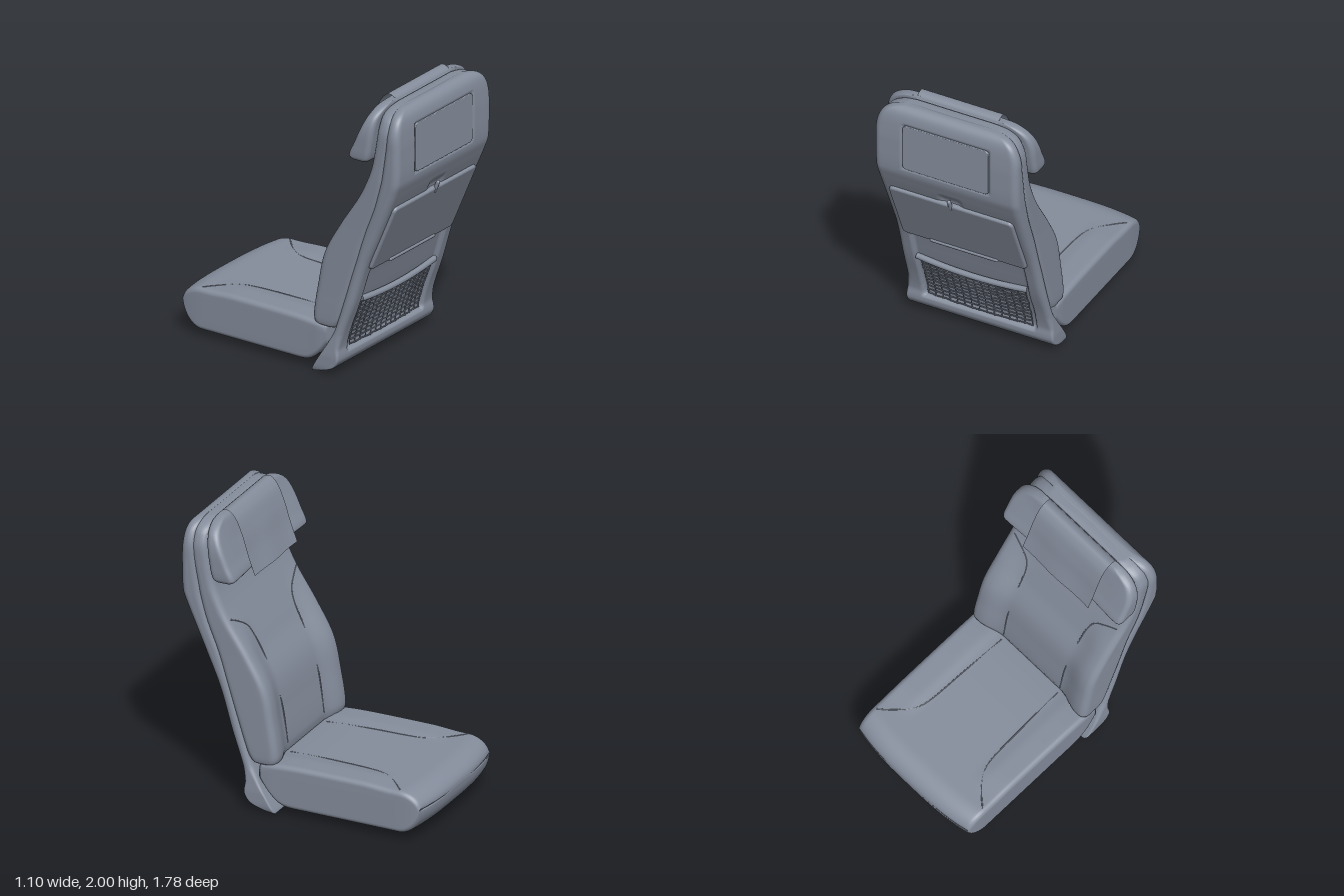
import * as THREE from 'three';
import { ParametricGeometry } from 'three/addons/geometries/ParametricGeometry.js';

const mat = new THREE.MeshStandardMaterial({ color: 0x858d9c });
const thinMat = new THREE.MeshStandardMaterial({ color: 0x858d9c, side: THREE.DoubleSide });
const V = (x, y, z) => new THREE.Vector3(x, y, z);
const step = THREE.MathUtils.smoothstep;

// Smooth interpolation through rows of [s, ...values]
function track(keys) {
  const slope = (i, c) => {
    const a = keys[Math.max(i - 1, 0)], b = keys[Math.min(i + 1, keys.length - 1)];
    return (b[c] - a[c]) / (b[0] - a[0]);
  };
  return (s) => {
    let i = 0;
    while (i < keys.length - 2 && s > keys[i + 1][0]) i++;
    const a = keys[i], b = keys[i + 1], h = b[0] - a[0];
    const t = (s - a[0]) / h, t2 = t * t, t3 = t2 * t;
    return a.slice(1).map((v, k) => (2 * t3 - 3 * t2 + 1) * v + (t3 - 2 * t2 + t) * h * slope(i, k + 1)
      + (3 * t2 - 2 * t3) * b[k + 1] + (t3 - t2) * h * slope(i + 1, k + 1));
  };
}

// Rounded rectangle ring: [side x, side z, corner x, corner z]
function ringTemplate(L, S = 6, C = 6) {
  const out = [];
  const corner = (sx, sz, a0) => {
    for (let i = 1; i < C; i++) {
      const a = a0 + (i / C) * Math.PI / 2;
      out.push([sx, sz, Math.sin(a), Math.cos(a)]);
    }
  };
  for (let i = 0; i <= L; i++) out.push([-1 + 2 * i / L, 1, 0, 1]);
  corner(1, 1, 0);
  for (let i = 0; i <= S; i++) out.push([1, 1 - 2 * i / S, 1, 0]);
  corner(1, -1, Math.PI / 2);
  for (let i = 0; i <= L; i++) out.push([1 - 2 * i / L, -1, 0, -1]);
  corner(-1, -1, Math.PI);
  for (let i = 0; i <= S; i++) out.push([-1, -1 + 2 * i / S, -1, 0]);
  corner(-1, 1, Math.PI * 1.5);
  return out;
}

// Closed loft over keys [s, low, high, halfWidth]; adjust() sculpts each point
function loft(keys, { radius, across = 32, gap = 0.02, adjust }) {
  const at = track(keys), ring = ringTemplate(across), n = ring.length;
  const levels = [keys[0][0]];
  for (let i = 1; i < keys.length; i++) {
    const a = keys[i - 1][0], b = keys[i][0], m = Math.max(3, Math.ceil((b - a) / gap));
    for (let k = 1; k <= m; k++) levels.push(a + (b - a) * k / m);
  }
  const pos = [], idx = [];
  const add = (p) => { adjust(p); pos.push(p.x, p.y, p.z); };
  for (const s of levels) {
    const [lo, hi, w] = at(s), d = (hi - lo) / 2, r = Math.min(radius(s), d * 0.95);
    for (const [sx, sz, cx, cz] of ring) add(V(sx * (w - r) + r * cx, s, (lo + hi) / 2 + sz * (d - r) + r * cz));
  }
  for (let j = 0; j < levels.length - 1; j++) for (let i = 0; i < n; i++) {
    const k = (i + 1) % n, a = j * n + i, b = j * n + k;
    idx.push(a, b, b + n, a, b + n, a + n);
  }
  const top = (levels.length - 1) * n, c = levels.length * n;
  for (const s of [levels[0], levels.at(-1)]) {
    const [lo, hi] = at(s);
    add(V(0, s, (lo + hi) / 2));
  }
  for (let i = 0; i < n; i++) {
    const k = (i + 1) % n;
    idx.push(c, k, i, c + 1, top + i, top + k);
  }
  const g = new THREE.BufferGeometry();
  g.setAttribute('position', new THREE.Float32BufferAttribute(pos, 3));
  g.setIndex(idx);
  g.computeVertexNormals();
  return g;
}

// Softly edged rectangle mask, 1 inside
const mask = (x, y, hw, y0, y1, e = 0.016) =>
  step(hw - Math.abs(x), 0, e) * step(y - y0, 0, e) * step(y1 - y, 0, e);

// Rounded slab facing +z
function slab(w, h, r, depth, b) {
  const x = w / 2, y = h / 2, s = new THREE.Shape();
  s.moveTo(-x + r, -y);
  s.lineTo(x - r, -y).absarc(x - r, -y + r, r, -Math.PI / 2, 0);
  s.lineTo(x, y - r).absarc(x - r, y - r, r, 0, Math.PI / 2);
  s.lineTo(-x + r, y).absarc(-x + r, y - r, r, Math.PI / 2, Math.PI);
  s.lineTo(-x, -y + r).absarc(-x + r, -y + r, r, Math.PI, Math.PI * 1.5);
  return new THREE.ExtrudeGeometry(s, { depth: depth - b, bevelSize: b, bevelThickness: b, bevelOffset: -b, bevelSegments: 4, curveSegments: 6 });
}

const tube = (pts, r, seg = 24, sides = 6) =>
  new THREE.TubeGeometry(new THREE.CatmullRomCurve3(pts), seg, r, sides);

export function createModel() {
  const model = new THREE.Group();
  const add = (name, geo, parent = model, m = mat) => {
    const mesh = new THREE.Mesh(geo, m);
    mesh.name = name;
    parent.add(mesh);
    return mesh;
  };

  // Rear shell with recesses for the screen and pocket
  const shellKeys = [
    [0, 0.2, 0.212, 0.525], [0.02, 0.208, 0.29, 0.538], [0.05, 0.225, 0.37, 0.544], [0.1, 0.255, 0.415, 0.545],
    [0.14, 0.28, 0.422, 0.545], [0.2, 0.315, 0.418, 0.54], [0.33, 0.378, 0.452, 0.53], [0.53, 0.44, 0.525, 0.525],
    [0.8, 0.52, 0.61, 0.52], [1.05, 0.6, 0.715, 0.52], [1.25, 0.68, 0.8, 0.525], [1.38, 0.72, 0.855, 0.528],
    [1.47, 0.745, 0.885, 0.53], [1.7, 0.78, 0.893, 0.53], [1.8, 0.79, 0.89, 0.527], [1.87, 0.795, 0.884, 0.507],
    [1.92, 0.795, 0.872, 0.472], [1.95, 0.795, 0.852, 0.42], [1.966, 0.79, 0.825, 0.34]];
  const shellAt = track(shellKeys), backZ = (y) => shellAt(y)[1];
  add('rearShell', loft(shellKeys, {
    radius: (s) => 0.014 + 0.031 * step(s, 0.08, 0.4), across: 90, gap: 0.012,
    adjust: (p) => {
      if (p.z < backZ(p.y) - 0.005) return;
      p.z -= 0.025 * mask(p.x, p.y, 0.425, 0.155, 0.775) + 0.012 * mask(p.x, p.y, 0.332, 1.493, 1.857)
        + 0.015 * mask(p.x, p.y, 0.1, 1.25, 1.36, 0.05);
    },
  }));

  // Screen panel
  const screen = add('screenPanel', slab(0.64, 0.345, 0.03, 0.012, 0.006));
  screen.position.set(0, 1.675, 0.879);

  // Folding tray, its latch and hinge
  const tray = new THREE.Group();
  tray.name = 'foldingTray';
  tray.position.set(0, 1.04, 0.695);
  tray.rotation.x = 0.404;
  model.add(tray);
  add('trayPanel', slab(0.92, 0.53, 0.035, 0.036, 0.016), tray);
  const latch = add('trayLatch', new THREE.CapsuleGeometry(0.014, 0.075, 6, 12), tray);
  latch.position.set(0, 0.268, 0.027);
  const hinge = add('trayHinge', new THREE.CapsuleGeometry(0.014, 0.48, 6, 12));
  hinge.rotation.z = Math.PI / 2;
  hinge.position.set(0, 0.795, 0.628);

  // Net pocket
  const pocket = new THREE.Group();
  pocket.name = 'netPocket';
  model.add(pocket);
  const netPoint = (x, y) => V(x + 0.003 * Math.sin(y * 60 + x * 40), y + 0.003 * Math.sin(x * 45 + y * 70),
    backZ(y) - 0.016 + 0.016 * (1 - (x / 0.4) ** 2));
  const span = (n, f) => Array.from({ length: n + 1 }, (_, i) => f(i / n));
  for (let i = 0; i <= 14; i++)
    add('netUpright', tube(span(8, (t) => netPoint(-0.385 + 0.055 * i, 0.18 + 0.34 * t)), 0.0045), pocket);
  for (let j = 0; j <= 10; j++)
    add('netCross', tube(span(12, (t) => netPoint(-0.385 + 0.77 * t, 0.185 + 0.0325 * j)), 0.0045), pocket);
  add('pocketBand', tube(span(12, (t) => {
    const x = -0.41 + 0.82 * t, y = 0.522 + 0.022 * (x / 0.41) ** 2;
    return V(x, y, backZ(y) - 0.014 + 0.016 * (1 - (x / 0.41) ** 2));
  }), 0.022, 32, 10), pocket);

  // Backrest cushion with side bolsters and a sunken middle
  const restKeys = [
    [0.33, 0.225, 0.38, 0.505], [0.345, 0.203, 0.39, 0.518], [0.4, 0.195, 0.42, 0.522], [0.6, 0.225, 0.49, 0.52],
    [0.85, 0.28, 0.57, 0.518], [1.07, 0.4, 0.64, 0.516], [1.3, 0.55, 0.73, 0.518], [1.45, 0.625, 0.77, 0.52],
    [1.55, 0.66, 0.79, 0.52], [1.7, 0.69, 0.82, 0.52], [1.8, 0.705, 0.83, 0.517], [1.86, 0.71, 0.83, 0.5],
    [1.91, 0.712, 0.83, 0.47], [1.945, 0.718, 0.83, 0.41], [1.964, 0.73, 0.82, 0.33]];
  const restAt = track(restKeys);
  const sink = (x, y) => 0.045 * (1 - step(Math.abs(x), 0.26, 0.45)) * (1 - step(y, 1.0, 1.35)) * step(y, 0.28, 0.36);
  add('backrestCushion', loft(restKeys, {
    radius: () => 0.05, across: 48,
    adjust: (p) => { if (p.z < restAt(p.y)[0] + 0.01) p.z += sink(p.x, p.y); },
  }));

  // Seat cushion, lofted from the rear to an elliptical nose
  const seatKeys = [
    [-0.32, 0.22, 0.32, 0.515], [-0.25, 0.13, 0.333, 0.52], [-0.18, 0.07, 0.34, 0.52], [-0.12, 0.052, 0.344, 0.52],
    [0, 0.05, 0.348, 0.52], [0.3, 0.05, 0.35, 0.52], [0.6, 0.05, 0.349, 0.52]];
  for (let i = 0; i <= 9; i++) {
    const a = i * Math.PI / 18, c = Math.cos(a);
    seatKeys.push([0.72 + 0.17 * Math.sin(a), 0.235 - 0.185 * c, 0.241 + 0.107 * c, 0.505 + 0.015 * c]);
  }
  const seatAt = track(seatKeys);
  const seat = loft(seatKeys, {
    radius: () => 0.035, across: 40,
    adjust: (p) => {
      if (p.z > 0.3) p.z += 0.01 * step(Math.abs(p.x), 0.27, 0.37) * (1 - step(p.y, 0.42, 0.66));
      p.y -= 0.045 * Math.abs(p.x / 0.52) ** 3 * step(p.y, 0.5, 0.89);
    },
  });
  seat.rotateX(-Math.PI / 2);
  add('seatCushion', seat);

  // Upholstery seams, mirrored
  const restPoint = (x, y) => V(x, y, restAt(y)[0] + sink(x, y) - 0.001);
  const seatPoint = (x, z) => V(x, seatAt(-z)[1], z);
  for (const m of [1, -1]) {
    add('backrestSeam', tube([[0.26, 0.4], [0.265, 0.7], [0.275, 1], [0.285, 1.13], [0.315, 1.21], [0.4, 1.27], [0.475, 1.305]]
      .map(([x, y]) => restPoint(m * x, y)), 0.004, 48));
    add('seatSeam', tube([[0.26, 0.22], [0.272, -0.1], [0.295, -0.46], [0.33, -0.54], [0.42, -0.64], [0.49, -0.7]]
      .map(([x, z]) => seatPoint(m * x, z)), 0.004, 48));
  }

  // Headrest with slightly forward wings
  add('headrest', loft([
    [1.577, 0.55, 0.625, 0.51], [1.585, 0.515, 0.642, 0.532], [1.61, 0.5, 0.66, 0.545], [1.7, 0.54, 0.68, 0.547],
    [1.8, 0.583, 0.695, 0.543], [1.87, 0.613, 0.705, 0.525], [1.92, 0.634, 0.713, 0.49], [1.96, 0.65, 0.718, 0.42],
    [1.98, 0.668, 0.71, 0.33]], {
    radius: () => 0.035,
    adjust: (p) => { p.z += 0.012 * (1 - step(Math.abs(p.x), 0.2, 0.5)) * (1 - step(p.y, 1.8, 1.95)); },
  }));

  // Cloth draped over the headrest
  const drape = new THREE.CatmullRomCurve3([V(0, 1.96, 0.72), V(0, 1.988, 0.7), V(0, 1.998, 0.655),
    V(0, 1.955, 0.605), V(0, 1.84, 0.552), V(0, 1.7, 0.507), V(0, 1.565, 0.457)]);
  add('headrestCloth', new ParametricGeometry((u, v, p) => {
    drape.getPoint(v, p);
    p.x = (u - 0.5) * 2 * 0.303;
    p.z += 0.004 * Math.sin(u * 9) * step(v, 0.5, 1);
  }, 16, 32), model, thinMat);

  return model;
}
